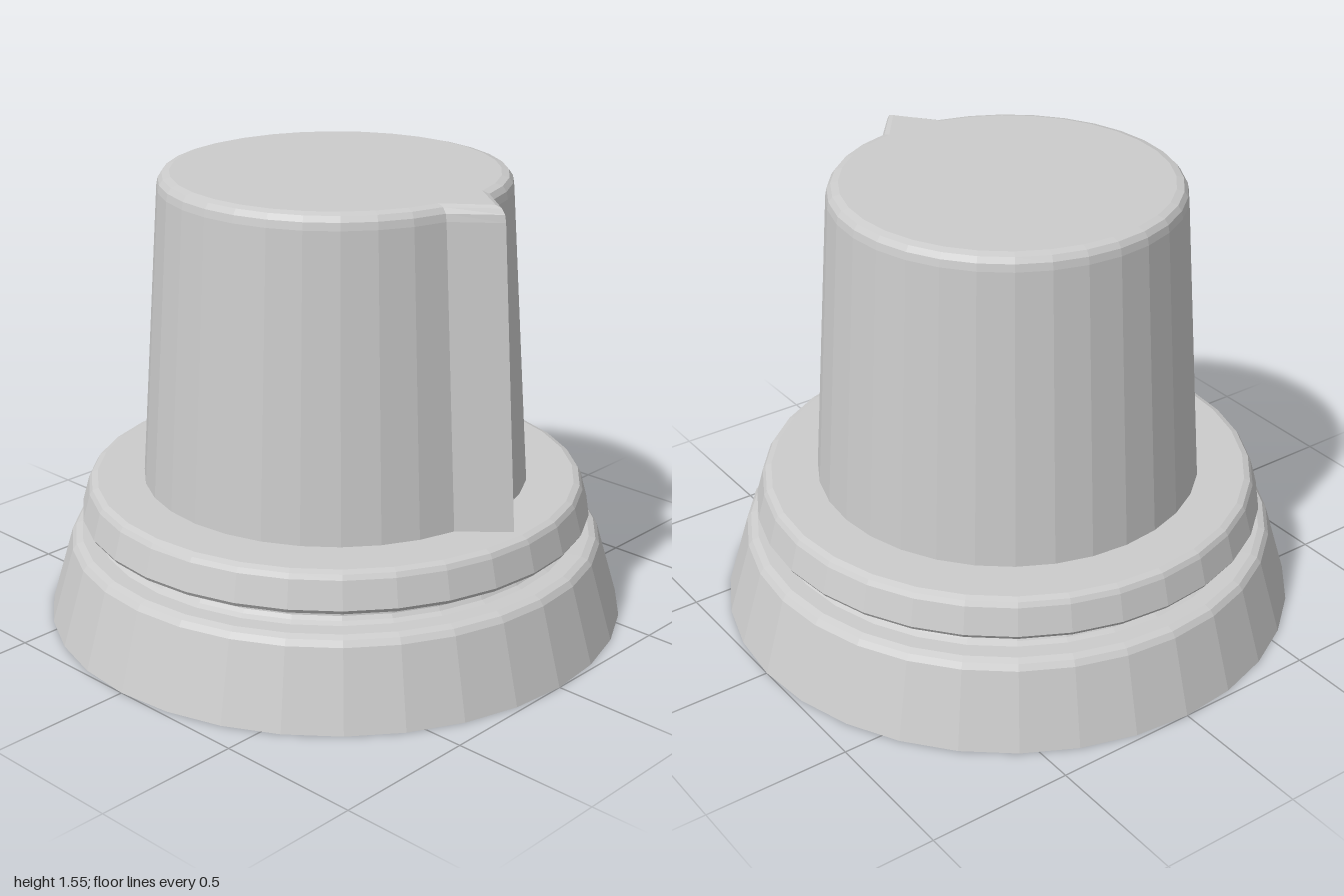
import * as THREE from 'three';

const SIDES = 32;

// Faceted turned shape from [radius, height] pairs, listed bottom to top.
function turned(profile, side) {
  const points = profile.map(([r, y]) => new THREE.Vector2(r, y));
  const geometry = new THREE.LatheGeometry(points, SIDES);
  const material = new THREE.MeshStandardMaterial({ color: 0xcccccc, flatShading: true, side });
  return new THREE.Mesh(geometry, material);
}

// Replace smooth normals by one normal per facet.
function facet(mesh) {
  mesh.geometry = mesh.geometry.toNonIndexed();
  mesh.geometry.computeVertexNormals();
  return mesh;
}

export function createModel() {
  const group = new THREE.Group();

  // Hollow skirt with a rounded shoulder, leading into the groove
  const skirt = turned([
    [1, 0], [0.922, 0.265], [0.908, 0.284], [0.885, 0.293],
    [0.83, 0.294], [0.812, 0.302], [0.803, 0.315], [0.801, 0.33],
  ], THREE.DoubleSide);
  skirt.name = 'skirt';
  group.add(facet(skirt));

  // Collar above the groove, closed by a flat plate
  const collar = turned([
    [0.801, 0.33], [0.808, 0.343], [0.825, 0.353], [0.872, 0.356], [0.881, 0.37],
    [0.856, 0.462], [0.846, 0.478], [0.825, 0.486], [0, 0.486],
  ], THREE.DoubleSide);
  collar.name = 'collar';
  group.add(facet(collar));

  // Tapered grip; its front column of vertices is pulled out into a pointer
  const grip = turned([
    [0.663, 0.486], [0.591, 1.5], [0.586, 1.525], [0.573, 1.543], [0.548, 1.55], [0, 1.55],
  ], THREE.FrontSide);
  grip.name = 'gripWithPointer';
  const p = grip.geometry.attributes.position;
  for (let i = 0; i < p.count; i++) {
    if (Math.abs(p.getX(i)) < 1e-4 && p.getZ(i) > 0.1) p.setZ(i, p.getZ(i) + 0.13);
  }
  group.add(facet(grip));

  return group;
}
